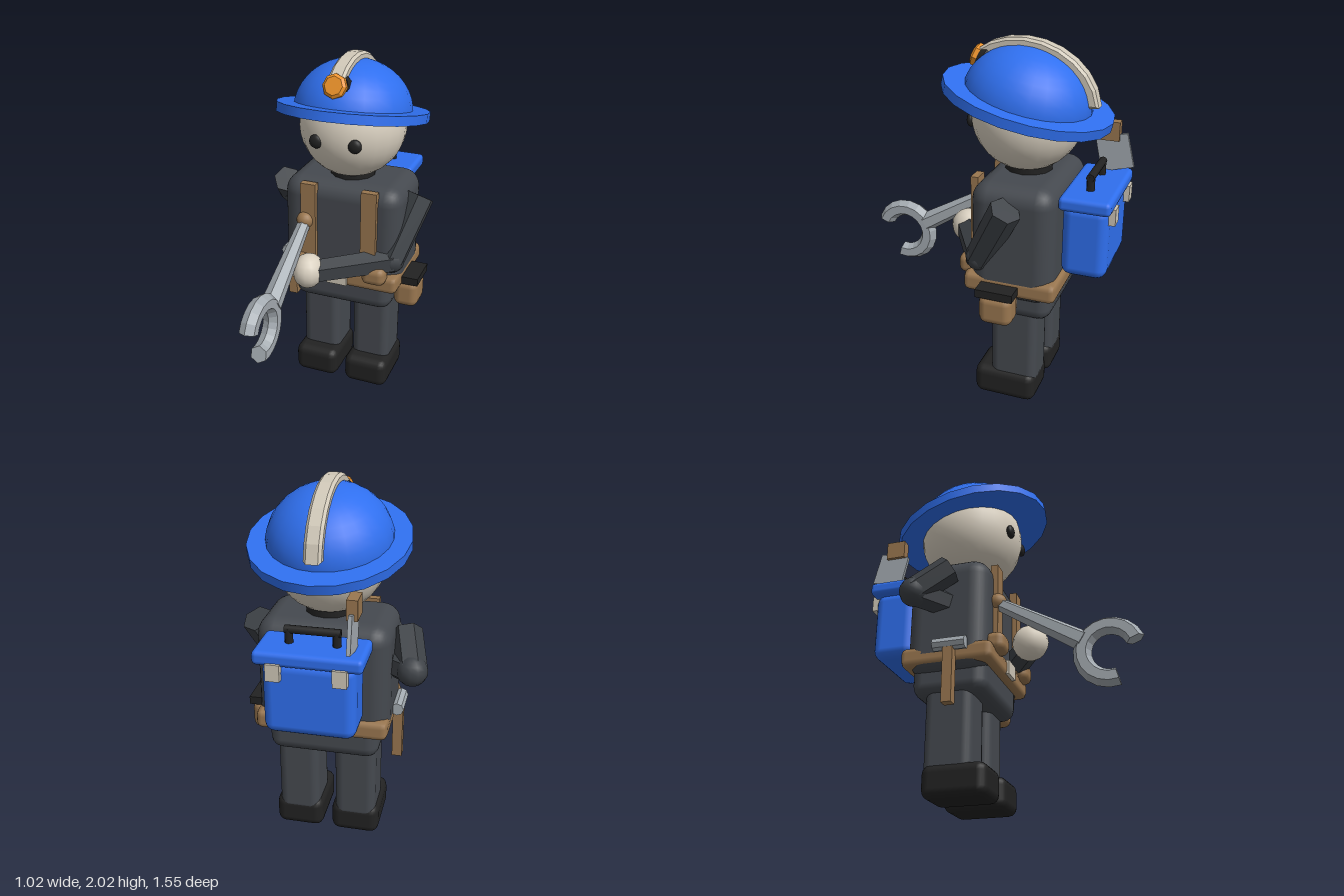
import * as THREE from 'three';
import { RoundedBoxGeometry } from 'three/addons/geometries/RoundedBoxGeometry.js';

const V = (x, y, z) => new THREE.Vector3(x, y, z);
const mat = (color, flatShading = false) =>
  new THREE.MeshStandardMaterial({ color, flatShading });
const CX = 0.03; // body centre line

export function createModel() {
  const root = new THREE.Group();
  const M = {
    blue: mat(0x2f6fee), cloth: mat(0x45494f), sleeve: mat(0x3d4146, true), sleeveSmooth: mat(0x3d4146),
    black: mat(0x222222), brown: mat(0x9a7750), cream: mat(0xd9d0c0), creamFlat: mat(0xd0c8b8, true),
    steel: mat(0xa4abb1, true), orange: mat(0xee942a, true),
  };

  const add = (name, geo, m, pos = V(0, 0, 0), parent = root) => {
    const mesh = new THREE.Mesh(geo, m);
    mesh.name = name;
    mesh.position.copy(pos);
    parent.add(mesh);
    return mesh;
  };
  // box given by its limits; r > 0 rounds the edges
  const box = (name, m, x0, x1, y0, y1, z0, z1, r = 0, seg = 2) => {
    const s = [x1 - x0, y1 - y0, z1 - z0];
    const geo = r ? new RoundedBoxGeometry(...s, seg, r) : new THREE.BoxGeometry(...s);
    return add(name, geo, m, V((x0 + x1) / 2, (y0 + y1) / 2, (z0 + z1) / 2));
  };
  const ball = (name, m, p, rx, ry = rx, rz = rx, w = 16, h = 12, parent = root) =>
    add(name, new THREE.SphereGeometry(1, w, h).scale(rx, ry, rz), m, p, parent);
  // cylinder between two points
  const rod = (name, m, a, b, ra, rb = ra, sides = 6) => {
    const d = b.clone().sub(a);
    const mesh = add(name, new THREE.CylinderGeometry(rb, ra, d.length(), sides), m,
      a.clone().add(b).multiplyScalar(0.5));
    mesh.quaternion.setFromUnitVectors(V(0, 1, 0), d.normalize());
    return mesh;
  };

  // Legs, boots, straps, front pouches, eyes and latches in pairs
  for (const s of [-1, 1]) {
    const side = s > 0 ? 'left' : 'right';
    const pair = (name, m, x, hw, ...rest) =>
      box(side + name, m, CX + s * x - hw, CX + s * x + hw, ...rest);
    pair('Leg', M.cloth, 0.16, 0.115, 0.1, 0.65, -0.395, -0.13, 0.05);
    pair('Boot', M.black, 0.16, 0.135, 0, 0.18, -0.395, -0.04, 0.05);
    pair('Strap', M.brown, 0.18, 0.045, 0.78, 1.31, -0.045, -0.003);
    pair('FrontPouch', M.brown, 0.225, 0.07, 0.765, 0.875, -0.06, 0.05, 0.04);
    pair('Latch', M.creamFlat, 0.165, 0.036, 1.14, 1.23, -0.775, -0.735);
    ball(side + 'Eye', M.black, V(CX + s * 0.11, 1.585, 0.035), 0.039, 0.039, 0.024);
  }

  // Trunk
  box('torso', M.cloth, -0.325, 0.38, 0.66, 1.32, -0.49, -0.03, 0.1, 3);
  box('hips', M.cloth, -0.27, 0.33, 0.545, 0.8, -0.47, -0.05, 0.07);
  add('neck', new THREE.CylinderGeometry(0.13, 0.13, 0.1, 12), M.black, V(CX, 1.32, -0.25));
  ball('head', M.cream, V(CX, 1.62, -0.24), 0.3, 0.3, 0.3, 24, 18);

  // Belt and what hangs from it
  box('belt', M.brown, -0.325, 0.385, 0.7, 0.81, -0.515, 0, 0.035, 1);
  box('buckle', M.creamFlat, CX - 0.06, CX + 0.06, 0.715, 0.795, -0.02, 0.012);
  box('sidePouch', M.brown, 0.33, 0.475, 0.565, 0.735, -0.305, -0.12, 0.045);
  box('pouchFlap', M.black, 0.37, 0.48, 0.73, 0.775, -0.315, -0.11);
  box('hammerHandle', M.brown, -0.37, -0.315, 0.46, 0.8, -0.25, -0.195);
  rod('hammerHead', M.steel, V(-0.345, 0.79, -0.31), V(-0.345, 0.79, -0.13), 0.036, 0.036, 8);

  // Left arm reaching forward to the wrench
  const shoulderL = V(0.43, 1.23, -0.26), elbowL = V(0.33, 0.89, -0.08), wristL = V(-0.04, 0.85, 0.13);
  rod('leftUpperArm', M.sleeve, shoulderL, elbowL, 0.085, 0.078);
  ball('leftElbow', M.sleeveSmooth, elbowL, 0.075, 0.075, 0.075, 10, 8);
  rod('leftForearm', M.sleeve, elbowL, wristL, 0.078, 0.072);
  ball('leftHand', M.cream, V(-0.085, 0.855, 0.15), 0.088, 0.1, 0.1, 14, 10);

  // Right arm bent behind the body
  const shoulderR = V(-0.375, 1.22, -0.22), elbowR = V(-0.43, 1.08, -0.4);
  rod('rightUpperArm', M.sleeve, shoulderR, elbowR, 0.08, 0.08);
  ball('rightElbow', M.sleeveSmooth, elbowR, 0.082, 0.082, 0.082, 12, 10);
  rod('rightForearm', M.sleeve, elbowR, V(-0.2, 1.05, -0.2), 0.078, 0.07);

  // Wrench: shaft and open jaw with flat tips
  const wx = -0.17;
  ball('wrenchGrip', M.brown, V(wx, 1.085, -0.01), 0.05);
  rod('wrenchShaft', M.steel, V(wx, 1.065, 0.01), V(wx, 0.79, 0.46), 0.037, 0.058);
  const jaw = new THREE.Group();
  jaw.name = 'wrenchJaw';
  jaw.position.set(wx, 0.715, 0.595);
  jaw.rotation.y = Math.PI / 2;
  root.add(jaw);
  const R = 0.145, tube = 0.05, start = -1.83, arc = 4.6;
  add('jawArc', new THREE.TorusGeometry(R, tube, 6, 14, arc).rotateZ(start), M.steel, V(0, 0, 0), jaw);
  for (const [a, turn] of [[start, Math.PI / 2], [start + arc, -Math.PI / 2]])
    add('jawTip', new THREE.CircleGeometry(tube, 6).rotateX(turn).rotateZ(a), M.steel,
      V(R * Math.cos(a), R * Math.sin(a), 0), jaw);

  // Toolbox on the back
  box('toolboxBody', M.blue, -0.205, 0.265, 0.825, 1.23, -0.745, -0.5, 0.055);
  box('toolboxLid', M.blue, -0.245, 0.305, 1.21, 1.285, -0.762, -0.49, 0.025);
  const hx = 0.12, hz = -0.62;
  for (const s of [-1, 1])
    rod('handlePost', M.black, V(CX + s * hx, 1.27, hz), V(CX + s * hx, 1.36, hz), 0.022, 0.022, 8);
  rod('handleBar', M.black, V(CX - hx - 0.02, 1.355, hz), V(CX + hx + 0.02, 1.355, hz), 0.022, 0.022, 8);

  // Saw standing out of the toolbox
  const blade = new THREE.Shape([[0.56, 1.455], [0.73, 1.5], [0.775, 1.315], [0.6, 1.27]]
    .map(([x, y]) => new THREE.Vector2(x, y)));
  add('sawBlade', new THREE.ExtrudeGeometry(blade, { depth: 0.02, bevelEnabled: false })
    .rotateY(Math.PI / 2), M.steel, V(-0.187, 0, 0));
  box('sawHandle', M.brown, -0.205, -0.15, 1.455, 1.56, -0.69, -0.58);

  // Helmet, tilted back
  const helmet = new THREE.Group();
  helmet.name = 'helmet';
  helmet.position.set(CX, 1.69, -0.235);
  helmet.rotation.x = -0.225;
  root.add(helmet);
  add('brim', new THREE.CylinderGeometry(0.42, 0.42, 0.052, 20).scale(1, 1, 1.1), M.blue, V(0, 0, 0), helmet);
  add('dome', new THREE.SphereGeometry(1, 24, 10, 0, Math.PI * 2, 0, Math.PI / 2)
    .scale(0.328, 0.288, 0.345), M.blue, V(0, 0, 0), helmet);

  // Ridge: curved band over the dome
  const pts = [], steps = 9;
  const arcPoint = (i, a, b) => {
    const t = 0.6 + (2.84 - 0.6) * i / steps;
    pts.push(new THREE.Vector2(a * Math.cos(t), b * Math.sin(t)));
  };
  for (let i = 0; i <= steps; i++) arcPoint(i, 0.375, 0.31);
  for (let i = steps; i >= 0; i--) arcPoint(i, 0.335, 0.27);
  add('ridge', new THREE.ExtrudeGeometry(new THREE.Shape(pts), {
    depth: 0.06, bevelThickness: 0.015, bevelSize: 0.013, bevelSegments: 1,
  }).translate(0, 0, -0.03).rotateY(-Math.PI / 2), M.creamFlat, V(0, 0, 0), helmet);

  // Head lamp, aimed slightly up
  const lampAxis = V(0, 0.38, 0.925), lampAt = (d) => V(CX, 1.882, 0).addScaledVector(lampAxis, d);
  rod('lampHousing', M.black, lampAt(-0.07), lampAt(0.0), 0.06, 0.08, 12);
  rod('lampHousingRim', M.black, lampAt(0), lampAt(0.03), 0.08, 0.068, 12);
  rod('lampRing', M.orange, lampAt(0.03), lampAt(0.055), 0.066, 0.066, 8);
  rod('lampLens', M.orange, lampAt(0.055), lampAt(0.068), 0.066, 0.05, 8);

  return root;
}
